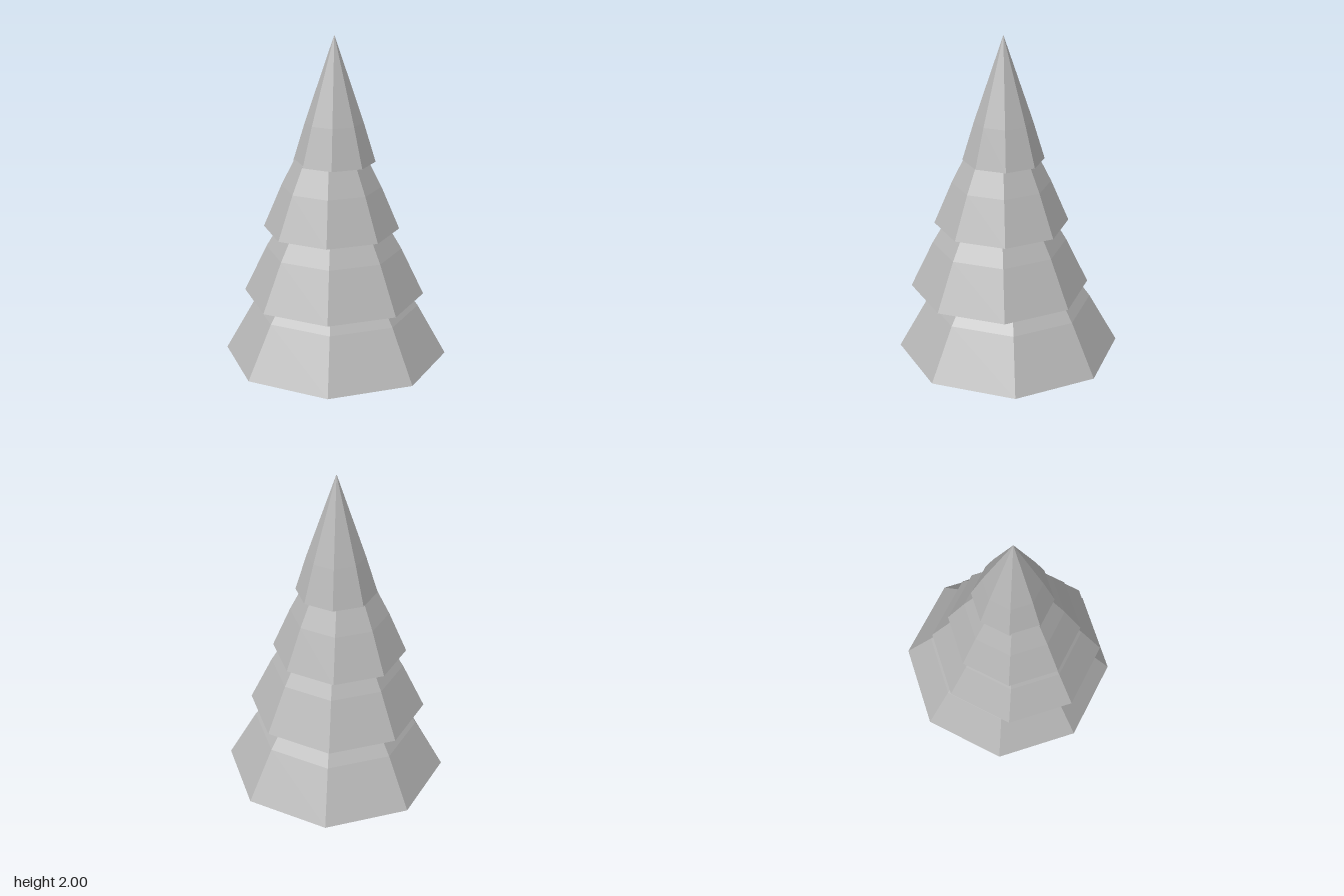
import * as THREE from 'three';

// One foliage tier: eight-sided, steeper above the kink, with a dark underside
function makeTier(foliage, shade, { name, x, z, base, radius, kink, kinkRadius, tip }) {
  const tier = new THREE.Group();
  tier.name = name;
  tier.position.set(x, base, z);

  const profile = [
    [radius, 0],
    [kinkRadius, kink - base],
    [0, tip - base],
  ].map(([r, y]) => new THREE.Vector2(r, y));
  const sides = new THREE.Mesh(new THREE.LatheGeometry(profile, 8).toNonIndexed(), foliage);
  sides.geometry.computeVertexNormals();
  sides.name = 'branches';

  const underside = new THREE.Mesh(new THREE.CircleGeometry(radius, 8), shade);
  underside.rotation.x = Math.PI / 2;
  underside.name = 'underside';

  tier.add(sides, underside);
  return tier;
}

export function createModel() {
  const tree = new THREE.Group();
  tree.name = 'coniferTree';

  const foliage = new THREE.MeshStandardMaterial({ color: 0xb6b6b6 });
  foliage.name = 'foliageGrey';
  foliage.flatShading = true;
  const shade = new THREE.MeshStandardMaterial({ color: 0x6d6d6d });
  shade.name = 'undersideDarkGrey';

  // Tiers from the ground up, each slightly off centre, tips hidden in the tier above
  const tiers = [
    { name: 'bottomTier', x: 0, z: 0, base: 0, radius: 0.688, kink: 0.315, kinkRadius: 0.512, tip: 1.03 },
    { name: 'lowerMiddleTier', x: -0.043, z: 0.034, base: 0.416, radius: 0.55, kink: 0.705, kinkRadius: 0.412, tip: 1.41 },
    { name: 'upperMiddleTier', x: -0.045, z: 0.014, base: 0.829, radius: 0.412, kink: 1.09, kinkRadius: 0.302, tip: 1.7 },
    { name: 'topTier', x: -0.024, z: 0.018, base: 1.242, radius: 0.247, kink: 1.48, kinkRadius: 0.175, tip: 2 },
  ];
  for (const tier of tiers) tree.add(makeTier(foliage, shade, tier));

  return tree;
}
